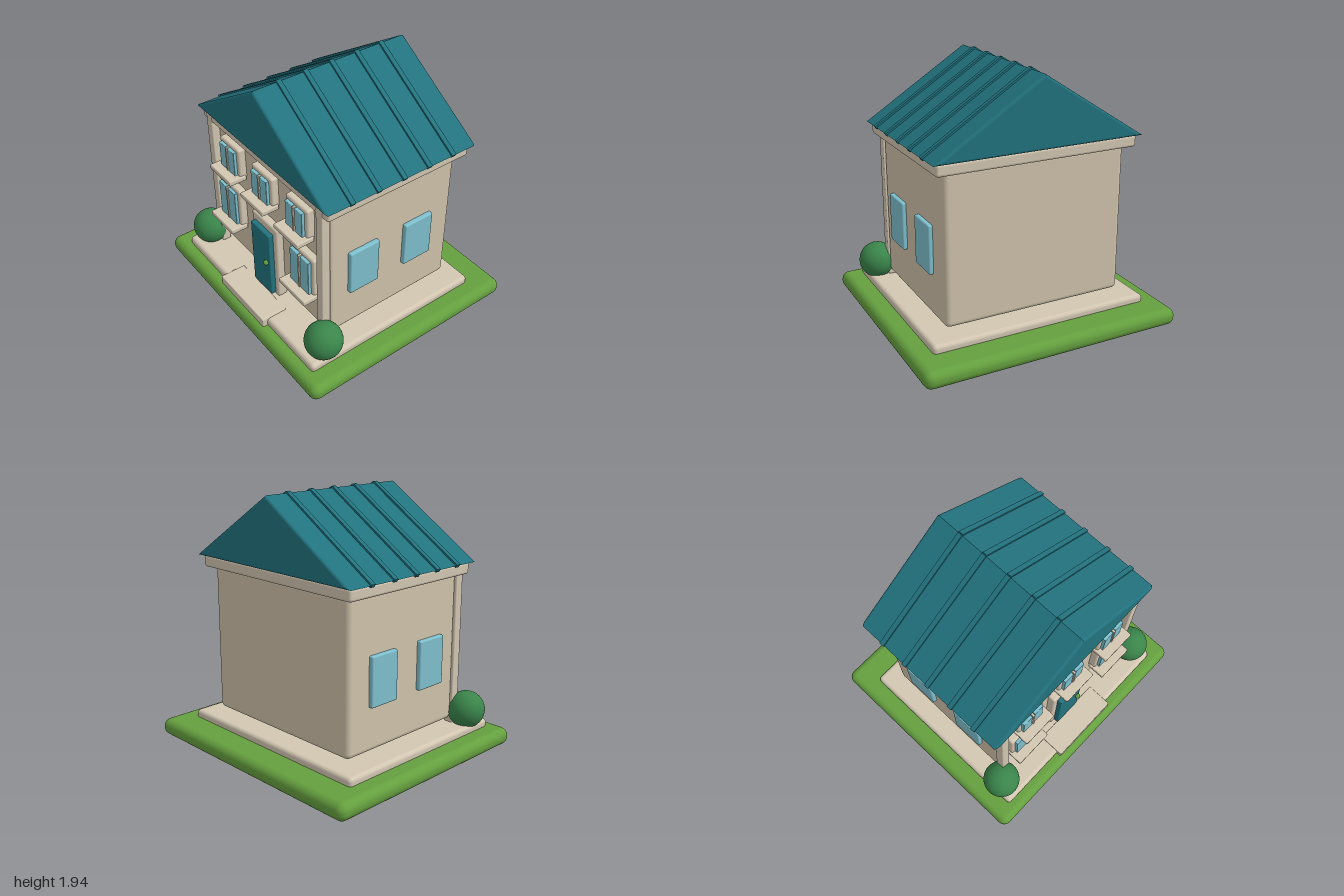
import * as THREE from 'three';
import { RoundedBoxGeometry } from 'three/addons/geometries/RoundedBoxGeometry.js';
import { ConvexGeometry } from 'three/addons/geometries/ConvexGeometry.js';

const mat = (name, color) => {
  const m = new THREE.MeshStandardMaterial({ color });
  m.name = name;
  return m;
};

export function createModel() {
  const house = new THREE.Group();
  house.name = 'house';
  const stone = mat('stone', 0xd0c3ab);
  const trim = mat('trim', 0xd3c7b2);
  const teal = mat('teal', 0x22737f);
  const glass = mat('glass', 0x7ec0ce);
  const grass = mat('grass', 0x65a03f);
  const leaf = mat('leaf', 0x3a854b);

  const add = (name, geometry, material, parent = house) => {
    const mesh = new THREE.Mesh(geometry, material);
    mesh.name = name;
    parent.add(mesh);
    return mesh;
  };
  // Rounded box given by its extents on each axis
  const box = (name, [x0, x1], [y0, y1], [z0, z1], r, material, parent) => {
    const m = add(name, new RoundedBoxGeometry(x1 - x0, y1 - y0, z1 - z0, 4, r), material, parent);
    m.position.set((x0 + x1) / 2, (y0 + y1) / 2, (z0 + z1) / 2);
    return m;
  };

  // Ground
  box('lawn', [-1, 1], [0, 0.13], [-0.9, 0.9], 0.06, grass);
  box('plinth', [-0.85, 0.85], [0.11, 0.187], [-0.675, 0.805], 0.03, trim);
  box('doorstep', [-0.29, 0.29], [0.11, 0.197], [0.64, 0.845], 0.008, trim);

  // Walls
  box('walls', [-0.7, 0.7], [0.22, 1.35], [-0.55, 0.55], 0.04, stone);
  box('cornice', [-0.768, 0.768], [1.33, 1.42], [-0.602, 0.607], 0.022, trim);

  for (const s of [-1, 1]) {
    const x = s * 0.675;
    box('cornerPilaster', [x - 0.035, x + 0.035], [0.185, 1.397], [0.54, 0.612], 0.01, trim);
    // Side windows
    for (const z of [0.26, -0.225]) {
      box('sideWindow', [s * 0.71 - 0.023, s * 0.71 + 0.023], [0.55, 0.915], [z - 0.126, z + 0.126], 0.012, glass);
    }
    // Bushes
    add('bush', new THREE.SphereGeometry(0.14, 40, 28), leaf).position.set(s * 0.765, 0.285, 0.645);
  }

  // Front windows: x centre, sill top, glass top, frame width
  const frontWindow = (x, y0, y1, w) => {
    const g = new THREE.Group();
    g.name = 'frontWindow';
    house.add(g);
    const h = w / 2;
    box('windowFrame', [x - h, x + h], [y0 - 0.03, y1 + 0.028], [0.53, 0.608], 0.018, trim, g);
    for (const s of [-1, 1]) {
      const c = x + s * (h - 0.017) / 2;
      const p = (h - 0.042) / 2;
      box('windowPane', [c - p, c + p], [y0 - 0.01, y1], [0.59, 0.632], 0.005, glass, g);
    }
    box('windowMullion', [x - 0.009, x + 0.009], [y0 - 0.01, y1], [0.59, 0.638], 0.004, trim, g);
    box('windowSill', [x - h - 0.014, x + h + 0.014], [y0 - 0.04, y0], [0.56, 0.703], 0.008, trim, g);
  };
  for (const x of [-0.418, 0, 0.418]) frontWindow(x, 1.05, 1.25, 0.252);
  for (const x of [-0.466, 0.466]) frontWindow(x, 0.565, 0.855, 0.278);

  // Door
  box('doorFrame', [-0.157, 0.157], [0.187, 0.84], [0.53, 0.61], 0.018, trim);
  box('door', [-0.116, 0.116], [0.207, 0.778], [0.58, 0.65], 0.01, teal);
  add('doorKnob', new THREE.SphereGeometry(0.02, 20, 14), grass).position.set(0.08, 0.512, 0.66);

  // Gable roof with rounded gable edges: inset triangles stepped along z
  const halfW = 0.797, base = 1.42, peak = 1.93, bevel = 0.02;
  const slope = Math.atan2(peak - base, halfW);
  const points = [];
  for (let i = 0; i <= 5; i++) {
    const a = (i / 5) * Math.PI / 2;
    const d = bevel * (1 - Math.cos(a));
    const z = 0.64 - bevel + bevel * Math.sin(a);
    const ex = halfW - d / Math.tan(slope / 2);
    for (const s of [-1, 1]) {
      points.push(
        new THREE.Vector3(-ex, base + d, s * z),
        new THREE.Vector3(ex, base + d, s * z),
        new THREE.Vector3(0, peak - d / Math.cos(slope), s * z));
    }
  }
  add('roof', new ConvexGeometry(points), teal);

  // Raised seams down both roof slopes
  const length = Math.hypot(halfW, peak - base);
  for (let i = -2; i <= 2; i++) {
    for (const s of [-1, 1]) {
      const seam = add('roofSeam', new THREE.BoxGeometry(length + 0.006, 0.026, 0.036), teal);
      seam.position.set(s * halfW / 2, (base + peak) / 2, i * 0.215);
      seam.rotation.z = -s * slope;
    }
  }
  return house;
}
